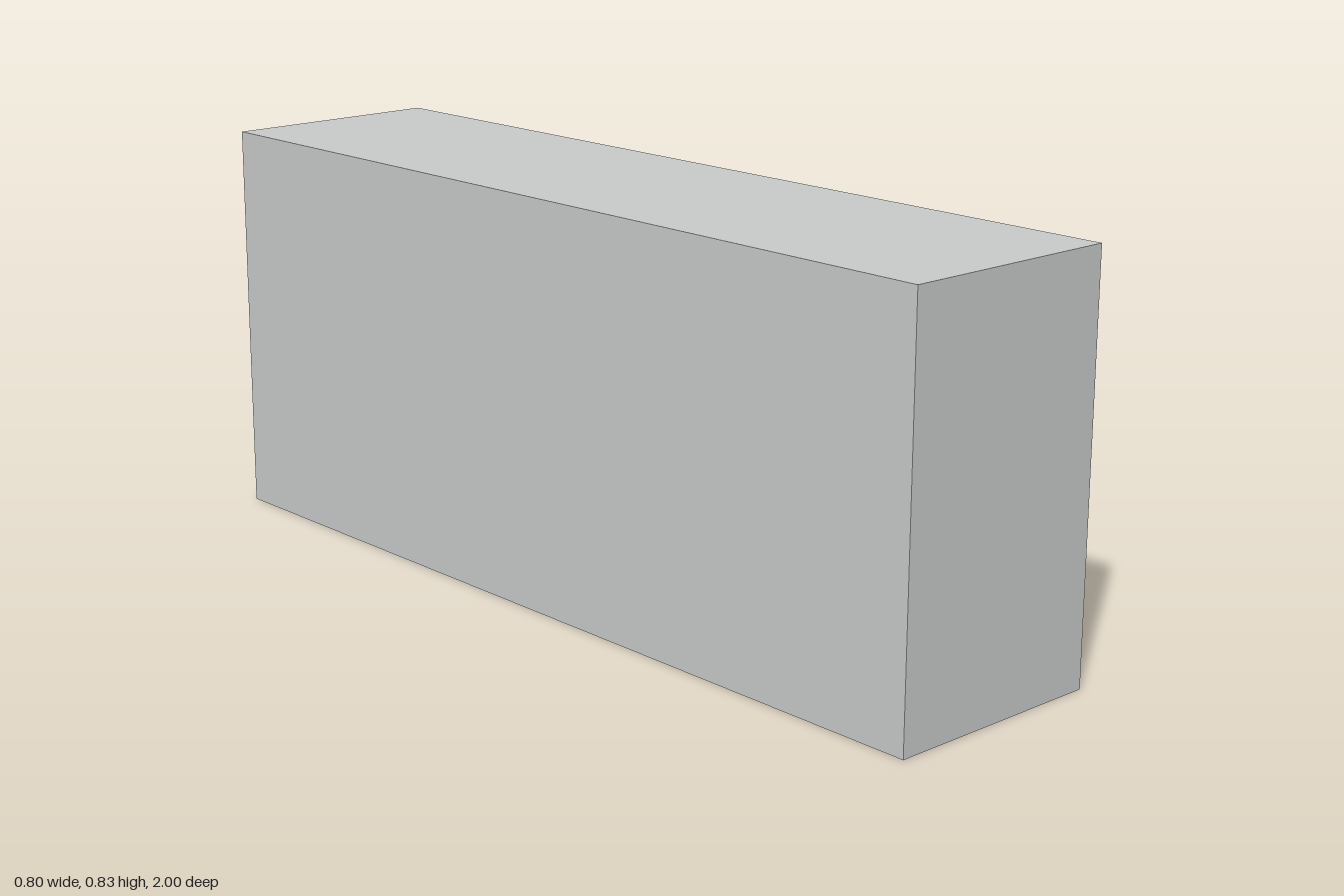
import * as THREE from 'three';

const LENGTH = 1.948, HEIGHT = 0.832, HALF = 0.2385; // block size, half thickness
const OPENING = 1.654;                               // length of the niche
const FLOOR = 0.29, CEILING = 0.714, BACK = -0.06;   // niche section
const LIP = 0.01;                                    // rounded front edge of the niche floor

export function createModel() {
  const model = new THREE.Group();
  const grey = new THREE.MeshStandardMaterial({ color: 0xc8cac9 });
  grey.name = 'lightGrey';

  const add = (name, geometry, z = 0, y = 0) => {
    const mesh = new THREE.Mesh(geometry, grey);
    mesh.name = name;
    mesh.position.set(0, y, z);
    model.add(mesh);
  };
  const extrude = (shape) => {
    const g = new THREE.ExtrudeGeometry(shape, { depth: OPENING, bevelEnabled: false, curveSegments: 6 });
    return g.translate(0, 0, -OPENING / 2);
  };

  // Middle of the block: C-shaped section around the niche
  const body = new THREE.Shape();
  body.moveTo(-HALF, 0);
  body.lineTo(HALF, 0);
  body.lineTo(HALF, FLOOR - LIP);
  body.quadraticCurveTo(HALF, FLOOR, HALF - LIP, FLOOR);
  body.lineTo(BACK, FLOOR);
  body.lineTo(BACK, CEILING);
  body.lineTo(HALF, CEILING);
  body.lineTo(HALF, HEIGHT);
  body.lineTo(-HALF, HEIGHT);
  body.closePath();
  add('surroundWithNiche', extrude(body));

  // Solid ends closing the niche
  const endLength = (LENGTH - OPENING) / 2;
  for (const [name, side] of [['frontEnd', 1], ['backEnd', -1]]) {
    add(name, new THREE.BoxGeometry(HALF * 2, HEIGHT, endLength),
      side * (OPENING + endLength) / 2, HEIGHT / 2);
  }

  // Hanging panel set back in the niche, with rounded lower edges
  const front = 0.178, rear = 0.13, bottom = 0.455, r = 0.014;
  const panel = new THREE.Shape();
  panel.moveTo(rear, CEILING);
  panel.lineTo(rear, bottom + r);
  panel.quadraticCurveTo(rear, bottom, rear + r, bottom);
  panel.lineTo(front - r, bottom);
  panel.quadraticCurveTo(front, bottom, front, bottom + r);
  panel.lineTo(front, CEILING);
  panel.closePath();
  add('hangingPanel', extrude(panel));

  // The whole block stands turned a little about the vertical
  model.rotation.y = -0.17;
  return model;
}
